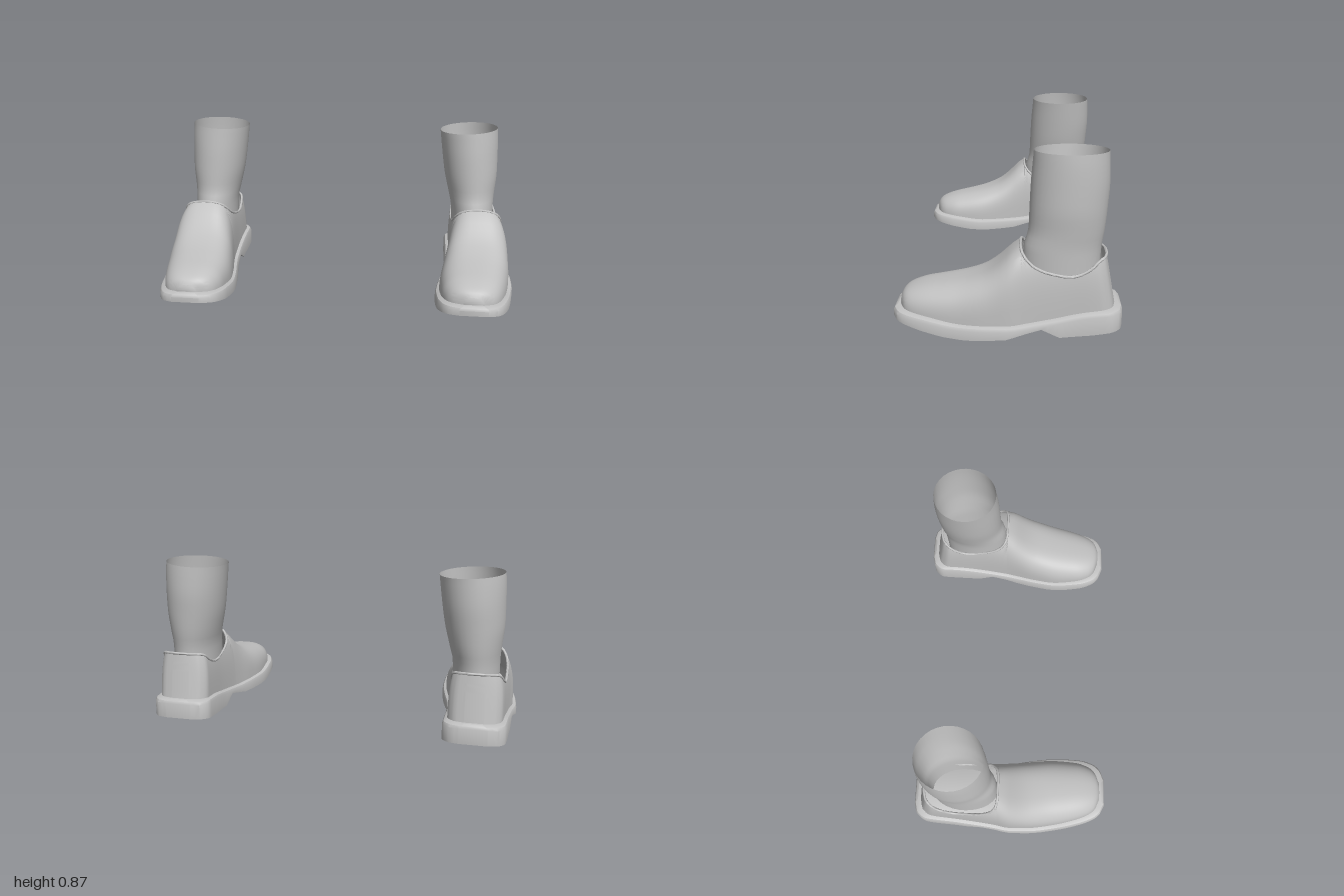
import * as THREE from 'three';
import { toCreasedNormals } from 'three/addons/utils/BufferGeometryUtils.js';

const V = (x, y, z) => new THREE.Vector3(x, y, z);

// Smooth, non-overshooting interpolation through [t, value] pairs (t ascending)
function smooth(pts) {
  const n = pts.length;
  const d = pts.slice(1).map((p, i) => (p[1] - pts[i][1]) / (p[0] - pts[i][0]));
  const m = pts.map((p, i) => {
    if (i === 0) return d[0];
    if (i === n - 1) return d[n - 2];
    return d[i - 1] * d[i] <= 0 ? 0 : (2 * d[i - 1] * d[i]) / (d[i - 1] + d[i]);
  });
  return (t) => {
    t = Math.min(Math.max(t, pts[0][0]), pts[n - 1][0]);
    let i = 0;
    while (i < n - 2 && t > pts[i + 1][0]) i++;
    const h = pts[i + 1][0] - pts[i][0], s = (t - pts[i][0]) / h, s2 = s * s, s3 = s2 * s;
    return pts[i][1] * (2 * s3 - 3 * s2 + 1) + m[i] * h * (s3 - 2 * s2 + s)
      + pts[i + 1][1] * (3 * s2 - 2 * s3) + m[i + 1] * h * (s3 - s2);
  };
}

// Straight interpolation through the same kind of pairs
function linear(pts) {
  return (t) => {
    let i = 0;
    while (i < pts.length - 2 && t > pts[i + 1][0]) i++;
    const [a, b] = [pts[i], pts[i + 1]];
    return a[1] + (b[1] - a[1]) * (t - a[0]) / (b[0] - a[0]);
  };
}

// Skin over rows of points; split leaves the middle open, closed joins last column to first
function skin(rows, { split = false, closed = false, caps = false }) {
  const n = rows[0].length, index = [], half = n / 2;
  const quad = (a, b, c, d) => index.push(a, b, c, b, d, c);
  for (let i = 0; i < rows.length - 1; i++) {
    for (let j = 0; j < (closed ? n : n - 1); j++) {
      if (split && j === half - 1) continue;
      const k = (j + 1) % n;
      quad(i * n + j, i * n + k, (i + 1) * n + j, (i + 1) * n + k);
    }
  }
  if (caps) {
    const last = (rows.length - 1) * n;
    for (let j = 0; j < half - 1; j++) {
      const o = n - 1 - j;
      quad(j, o, j + 1, o - 1);
      quad(last + j, last + j + 1, last + o, last + o - 1);
    }
  }
  const g = new THREE.BufferGeometry();
  g.setAttribute('position', new THREE.Float32BufferAttribute(rows.flat().flatMap((p) => p.toArray()), 3));
  g.setIndex(index);
  return g;
}

// Mirror an indexed geometry across x = 0, keeping faces outward
function mirrored(g) {
  const m = g.clone().scale(-1, 1, 1), ix = m.index.array;
  for (let i = 0; i < ix.length; i += 3) [ix[i], ix[i + 1]] = [ix[i + 1], ix[i]];
  return m;
}

// Stations from toe to heel, denser at both ends
function stations(front, back, count, extra) {
  const list = [...extra];
  for (let i = 0; i <= count; i++) {
    list.push((front + back) / 2 + (front - back) / 2 * Math.cos(Math.PI * i / count));
  }
  return list.sort((a, b) => b - a);
}

// Plan outline of the sole: inner and outer edge along z
const inner = smooth([[-0.55, 0.72], [-0.535, 0.665], [-0.48, 0.63], [-0.3, 0.63], [-0.1, 0.62], [0, 0.605],
  [0.1, 0.585], [0.27, 0.565], [0.4, 0.572], [0.48, 0.595], [0.52, 0.628], [0.545, 0.685]]);
const outer = smooth([[-0.55, 0.86], [-0.535, 0.915], [-0.48, 0.95], [-0.3, 0.965], [-0.1, 0.985], [0, 1],
  [0.1, 0.998], [0.27, 0.975], [0.4, 0.945], [0.48, 0.915], [0.52, 0.885], [0.545, 0.835]]);
const welt = smooth([[-0.55, 0.122], [-0.4, 0.113], [-0.2, 0.08], [0, 0.056], [0.2, 0.054], [0.4, 0.075], [0.545, 0.09]]);
const tread = linear([[-0.55, 0.033], [-0.4, 0.018], [-0.25, 0.01], [-0.165, 0.054], [-0.08, 0.032], [0, 0.01],
  [0.1, 0.004], [0.2, 0], [0.3, 0.008], [0.4, 0.025], [0.545, 0.055]]);

function soleGeometry() {
  const rows = stations(0.545, -0.55, 44, [-0.25, -0.165]).map((z) => {
    const a = inner(z), b = outer(z), y = welt(z), zt = z * 0.965;
    return [V(a, tread(z), z), V(a, y - 0.008, z), V(a + 0.006, y + 0.005, z * 0.99), V(a + 0.025, y + 0.014, zt),
      V(b - 0.025, y + 0.014, zt), V(b - 0.006, y + 0.005, z * 0.99), V(b, y - 0.008, z), V(b, tread(z), z)];
  });
  return skin(rows, { closed: true, caps: true });
}

// Shoe upper: arched sections in front, open walls behind the collar front
const COLLAR_Z = -0.066, STEPS = 14;
const crest = smooth([[-0.52, 0.45], [-0.2, 0.45], [-0.1, 0.44], [-0.066, 0.427], [-0.03, 0.402], [0.03, 0.342],
  [0.1, 0.288], [0.2, 0.248], [0.3, 0.225], [0.4, 0.205], [0.47, 0.182], [0.5, 0.162], [0.513, 0.14]]);
const collarY = smooth([[-0.52, 0.378], [-0.48, 0.37], [-0.4, 0.33], [-0.3, 0.3], [-0.2, 0.318], [-0.12, 0.355],
  [-0.09, 0.385], [-0.072, 0.41]]);
const roundness = smooth([[-0.52, 0.62], [0, 0.62], [0.3, 0.72], [0.513, 0.8]]);

function upperRows() {
  return stations(0.513, -0.517, 52, [COLLAR_Z, -0.072]).map((z) => {
    const a = inner(z / 0.94) + 0.022, b = outer(z / 0.94) - 0.022;
    const c = (a + b) / 2, w = (b - a) / 2, e = roundness(z);
    const base = welt(z), h = crest(z) - base;
    const end = z < COLLAR_Z ? Math.asin(((collarY(z) - base) / h) ** (1 / e)) : Math.PI / 2;
    const lean = 0.18 * THREE.MathUtils.smoothstep(-z, 0.33, 0.517);
    const side = (s) => Array.from({ length: STEPS + 1 }, (_, j) => {
      const t = end * j / STEPS, up = h * Math.sin(t) ** e;
      return V(c + s * w * Math.max(Math.cos(t), 0) ** e, base + up, z + lean * up);
    });
    return [...side(-1), ...side(1).reverse()];
  });
}

// Rolled edge around the collar opening
function collarGeometry(rows) {
  const open = rows.slice(rows.findIndex((r) => r[0].z <= COLLAR_Z + 1e-6));
  const loop = [...open.map((r) => r[STEPS]), ...open.slice(1).reverse().map((r) => r[STEPS + 1])];
  return new THREE.TubeGeometry(new THREE.CatmullRomCurve3(loop, true), 120, 0.007, 8, true);
}

// Sock: open tube flaring inward toward the top
function sockGeometry() {
  const table = [[0.18, 0.665, 0.9, -0.07, -0.44], [0.4, 0.655, 0.9, -0.08, -0.45], [0.48, 0.638, 0.905, -0.102, -0.463],
    [0.6, 0.61, 0.915, -0.107, -0.475], [0.72, 0.592, 0.913, -0.113, -0.483], [0.8, 0.582, 0.91, -0.12, -0.481],
    [0.857, 0.575, 0.905, -0.125, -0.478]];
  const [x0, x1, z0, z1] = [1, 2, 3, 4].map((k) => smooth(table.map((r) => [r[0], r[k]])));
  const rows = [];
  for (let i = 0; i <= 20; i++) {
    const y = 0.18 + 0.677 * i / 20;
    rows.push(Array.from({ length: 32 }, (_, j) => {
      const t = j / 32 * Math.PI * 2, cx = Math.cos(t), cz = -Math.sin(t);
      return V((x0(y) + x1(y)) / 2 + cx * (x1(y) - x0(y)) / 2,
        y + 0.01 * cx * i / 20,
        (z0(y) + z1(y)) / 2 + cz * (z0(y) - z1(y)) / 2);
    }));
  }
  return skin(rows, { closed: true });
}

export function createModel() {
  const grey = new THREE.MeshStandardMaterial({ color: 0xc0c0c0, side: THREE.DoubleSide });
  grey.name = 'grey';
  const rows = upperRows();
  const parts = {
    sole: [soleGeometry(), 0.6],
    upper: [skin(rows, { split: true, caps: true }), 1.1],
    collar: [collarGeometry(rows), 1.2],
    sock: [sockGeometry(), 1.2],
  };
  const model = new THREE.Group();
  model.name = 'shoesAndSocks';
  for (const sideName of ['left', 'right']) {
    const foot = new THREE.Group();
    foot.name = sideName + 'Foot';
    for (const [name, [geometry, crease]] of Object.entries(parts)) {
      const g = sideName === 'left' ? geometry : mirrored(geometry);
      const mesh = new THREE.Mesh(toCreasedNormals(g, crease), grey);
      mesh.name = name;
      foot.add(mesh);
    }
    model.add(foot);
  }
  return model;
}
